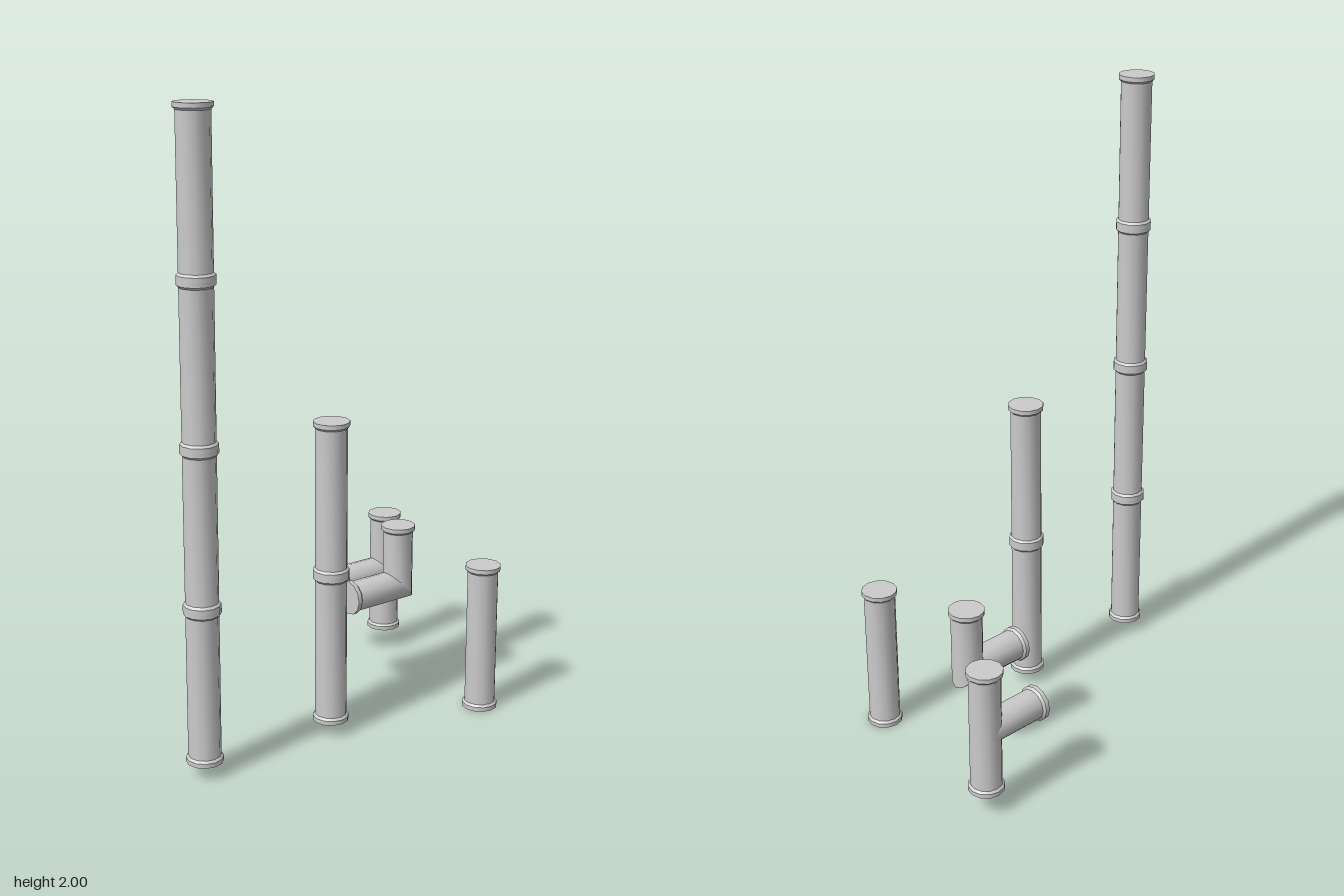
import * as THREE from 'three';
import { toCreasedNormals } from 'three/addons/utils/BufferGeometryUtils.js';

const R = 0.05;        // pipe radius
const FLANGE_R = 0.057;
const SIDES = 12;
const SEGMENT = 0.4875;

const material = new THREE.MeshStandardMaterial({ color: 0xcccccc, side: THREE.DoubleSide });

// Pipe along +y from y = 0 to length, flanged and closed at the top.
// An unflanged lower end stays open and may be mitred: y = slope * x.
function pipe(name, length, lowerFlange, slope = 0) {
  const points = lowerFlange
    ? [[0, 0], [FLANGE_R, 0], [FLANGE_R, 0.014], [R, 0.021]]
    : [[R, 0]];
  points.push([R, length - 0.021], [FLANGE_R, length - 0.014], [FLANGE_R, length], [0, length]);
  const geometry = new THREE.LatheGeometry(points.map(([x, y]) => new THREE.Vector2(x, y)), SIDES);
  if (!lowerFlange && slope) {
    const p = geometry.attributes.position;
    for (let i = 0; i < p.count; i++) {
      if (p.getY(i) < 1e-6) p.setY(i, slope * p.getX(i));
    }
  }
  const mesh = new THREE.Mesh(toCreasedNormals(geometry, 0.62), material);
  mesh.name = name;
  return mesh;
}

// Straight segments stacked end to end
function column(name, count) {
  const group = new THREE.Group();
  group.name = name;
  for (let i = 0; i < count; i++) {
    const segment = pipe('pipeSegment', SEGMENT, true);
    segment.position.y = i * SEGMENT;
    group.add(segment);
  }
  return group;
}

// Mitred right-angle bend, origin where the two axes meet
function elbow() {
  const group = new THREE.Group();
  group.name = 'elbowPipe';
  const side = pipe('elbowSideArm', 0.21, false, 1);
  side.rotation.z = Math.PI / 2;
  group.add(pipe('elbowUpperArm', 0.21, false, -1), side);
  return group;
}

// Upright pipe with a side branch at mid height
function tee() {
  const group = new THREE.Group();
  group.name = 'teePipe';
  const branch = pipe('teeBranch', 0.21, false);
  branch.rotation.z = Math.PI / 2;
  branch.position.y = 0.21;
  group.add(pipe('teeUpright', 0.42, true), branch);
  return group;
}

export function createModel() {
  const model = new THREE.Group();
  model.name = 'pipeSet';
  const place = (part, x, y, z) => {
    part.position.set(x, y, z);
    model.add(part);
  };
  place(column('tallPipe', 4), -0.528, 0.05, 0.15);
  place(column('mediumPipe', 2), -0.052, 0.05, 0.15);
  place(column('shortPipe', 1), 0.455, 0.005, 0.29);
  place(elbow(), 0.39, 0.335, -0.057);
  place(tee(), 0.524, 0.078, -0.29);
  return model;
}
